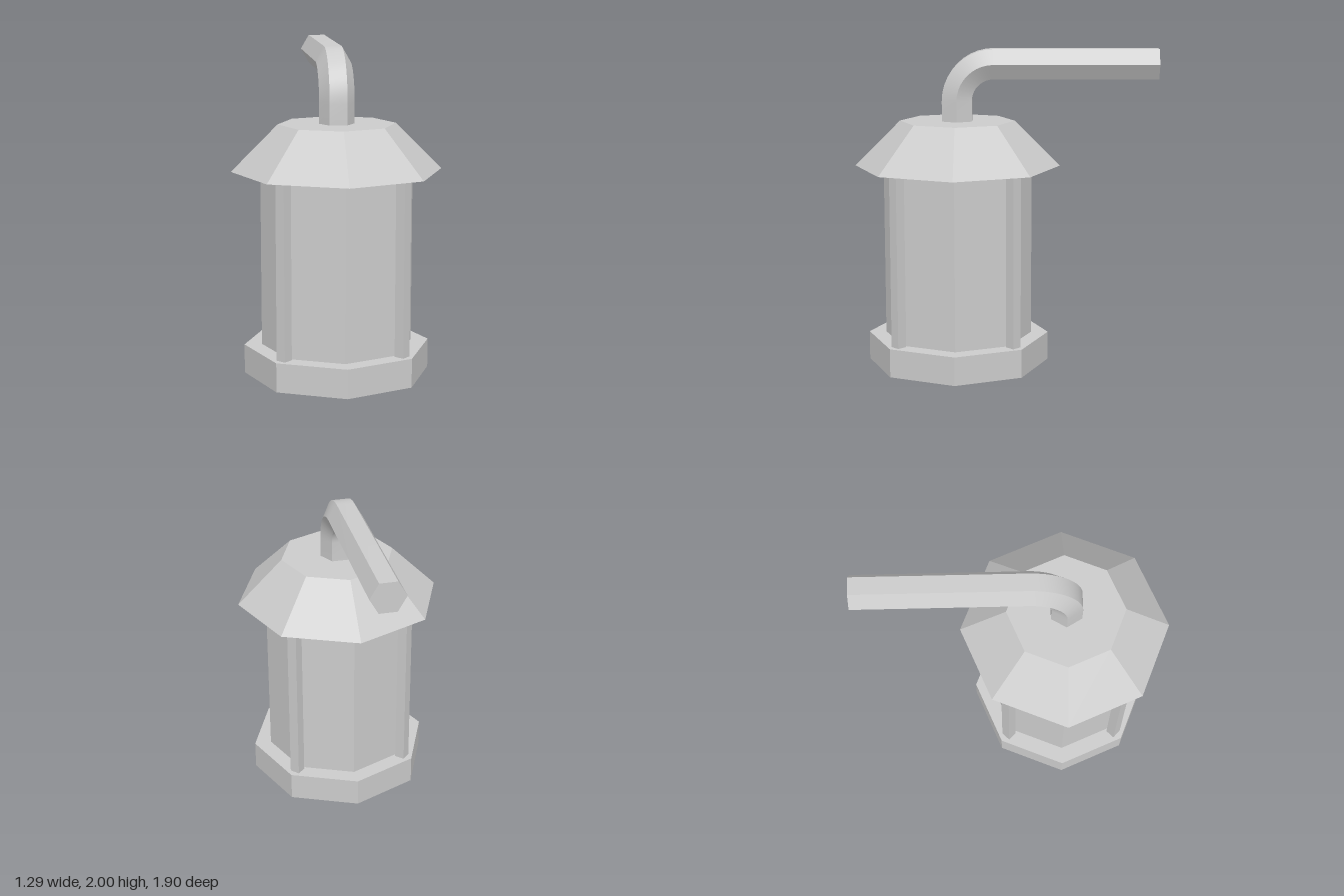
import * as THREE from 'three';
import { toCreasedNormals } from 'three/addons/utils/BufferGeometryUtils.js';

const AXIS_Z = 0.305; // the lantern stands forward of the arm's far end

// Hexagonal bar that rises, bends backwards and runs to -z
function armGeometry() {
  const radius = 0.108, bend = 0.23, topY = 1.907, steps = 10;
  const rings = [{ y: 1.54, z: AXIS_Z, t: 0 }];
  for (let i = 0; i <= steps; i++) {
    const t = (i / steps) * Math.PI / 2;
    rings.push({
      y: topY - bend + bend * Math.sin(t),
      z: AXIS_Z - bend + bend * Math.cos(t),
      t,
    });
  }
  rings.push({ y: topY, z: -0.95, t: Math.PI / 2 });

  const points = [], index = [];
  for (const { y, z, t } of rings) {
    for (let k = 0; k < 6; k++) {
      const a = k * Math.PI / 3, n = -radius * Math.sin(a);
      points.push(radius * Math.cos(a), y + n * Math.sin(t), z + n * Math.cos(t));
    }
  }
  for (let r = 0; r < rings.length - 1; r++) {
    for (let k = 0; k < 6; k++) {
      const a = r * 6 + k, b = r * 6 + (k + 1) % 6;
      index.push(a, b, b + 6, a, b + 6, a + 6);
    }
  }
  // closed far end
  const end = (rings.length - 1) * 6;
  for (let k = 1; k < 5; k++) index.push(end, end + k, end + k + 1);

  const geometry = new THREE.BufferGeometry();
  geometry.setAttribute('position', new THREE.Float32BufferAttribute(points, 3));
  geometry.setIndex(index);
  return toCreasedNormals(geometry, 0.7);
}

export function createModel() {
  const model = new THREE.Group();
  model.name = 'lantern';
  const grey = new THREE.MeshStandardMaterial({ color: 0xcccccc });
  grey.name = 'light grey';

  function add(name, geometry, parent = model) {
    const mesh = new THREE.Mesh(geometry, grey);
    mesh.name = name;
    parent.add(mesh);
    return mesh;
  }

  // Eight-sided section with corners on the axes
  function octagon(name, topRadius, bottomRadius, y0, y1) {
    const geometry = new THREE.CylinderGeometry(topRadius, bottomRadius, y1 - y0, 8);
    const mesh = add(name, toCreasedNormals(geometry, 0.3));
    mesh.position.set(0, (y0 + y1) / 2, AXIS_Z);
  }

  octagon('base', 0.575, 0.575, 0, 0.18);
  octagon('glassBody', 0.467, 0.467, 0.17, 1.275);
  octagon('roof', 0.36, 0.645, 1.265, 1.55);

  // Square posts on the diagonals
  const posts = new THREE.Group();
  posts.name = 'posts';
  posts.position.z = AXIS_Z;
  model.add(posts);
  for (const sx of [-1, 1]) {
    for (const sz of [-1, 1]) {
      const post = add('post', new THREE.BoxGeometry(0.064, 1.105, 0.064), posts);
      post.position.set(sx * 0.355, 0.7225, sz * 0.355);
      post.rotation.y = Math.PI / 4;
    }
  }

  add('hangingArm', armGeometry());
  return model;
}
